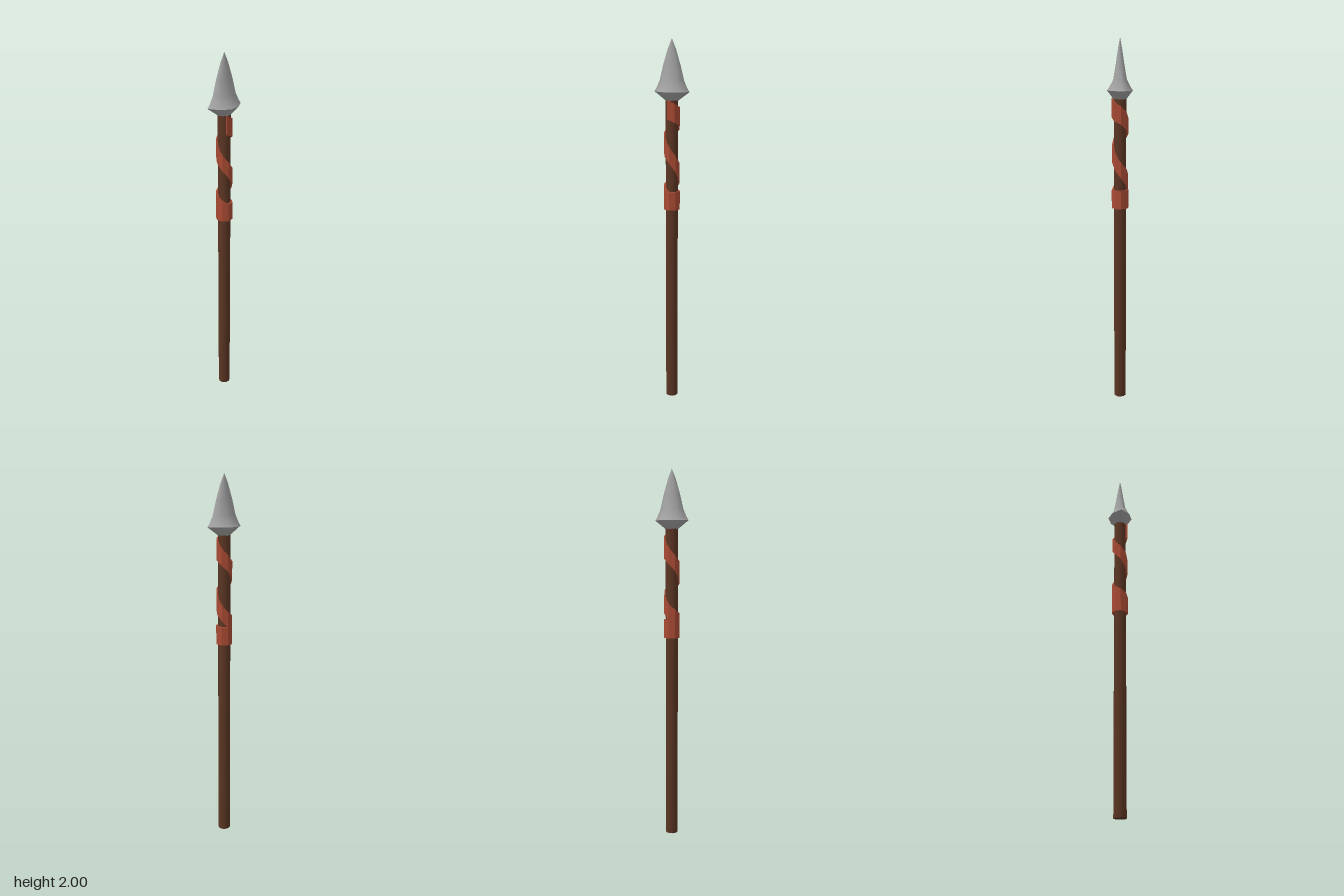
import * as THREE from 'three';
import { toCreasedNormals } from 'three/addons/utils/BufferGeometryUtils.js';

// Skin a list of equal-length closed cross-sections
function loft(sections) {
  const n = sections[0].length, index = [];
  for (let i = 0; i < sections.length - 1; i++) {
    for (let j = 0; j < n; j++) {
      const a = i * n + j, b = i * n + (j + 1) % n;
      index.push(a, b, a + n, b, b + n, a + n);
    }
  }
  const geo = new THREE.BufferGeometry();
  geo.setAttribute('position', new THREE.Float32BufferAttribute(sections.flat(2), 3));
  geo.setIndex(index);
  geo.computeVertexNormals();
  return geo;
}

// Eight-sided spearhead section, wide in x and thin in z
function headRing([y, w, d]) {
  const ring = [];
  for (let j = 0; j < 8; j++) {
    const a = j * Math.PI / 4, diagonal = j % 2 === 1;
    ring.push([
      Math.cos(a) * w * (diagonal ? 0.79 : 1),
      y,
      Math.sin(a) * d * (diagonal ? 1.04 : 1),
    ]);
  }
  return ring;
}

// Flat strap around the shaft; keys are [turn, centre height, strap height]
function strap(keys, radius) {
  const sections = [];
  const section = (turn, y, h) => {
    const a = turn * Math.PI * 2, c = Math.cos(a), s = Math.sin(a);
    return [[radius, -h], [radius, h], [0.033, h], [0.033, -h]]
      .map(([r, dy]) => [c * r, y + dy / 2, s * r]);
  };
  const closed = (turn, y) => {
    const a = turn * Math.PI * 2, r = (radius + 0.033) / 2;
    return Array.from({ length: 4 }, () => [Math.cos(a) * r, y, Math.sin(a) * r]);
  };
  const first = keys[0], last = keys[keys.length - 1];
  sections.push(closed(first[0], first[1]));
  for (let i = 0; i < keys.length - 1; i++) {
    for (let k = 0; k < 2; k++) {
      sections.push(section(...keys[i].map((v, m) => v + (keys[i + 1][m] - v) * k / 2)));
    }
  }
  sections.push(section(...last), closed(last[0], last[1]));
  return toCreasedNormals(loft(sections), 0.5);
}

export function createModel() {
  const wood = new THREE.MeshStandardMaterial({ color: 0x5a3523 });
  const leather = new THREE.MeshStandardMaterial({ color: 0xa84a33 });
  const steel = new THREE.MeshStandardMaterial({ color: 0xa0a0a0 });
  wood.name = 'dark wood';
  leather.name = 'red leather';
  steel.name = 'grey steel';

  const spear = new THREE.Group();
  spear.name = 'spear';
  const add = (name, geometry, material) => {
    const mesh = new THREE.Mesh(geometry, material);
    mesh.name = name;
    spear.add(mesh);
    return mesh;
  };

  // Shaft
  const shaft = toCreasedNormals(new THREE.CylinderGeometry(0.033, 0.033, 1.71, 12), 0.8);
  add('shaft', shaft, wood).position.y = 0.855;

  // Spearhead: leaf blade above a sharp rim, short taper below
  add('blade', loft([
    [2.0, 0.0005, 0.0005], [1.95, 0.022, 0.01], [1.87, 0.047, 0.022],
    [1.79, 0.067, 0.036], [1.75, 0.086, 0.057], [1.735, 0.097, 0.068],
  ].map(headRing)), steel);
  add('bladeBase', loft([
    [1.735, 0.097, 0.068], [1.69, 0.036, 0.034], [1.69, 0.0005, 0.0005],
  ].map(headRing)), steel);

  // Leather binding: spiral strap that ends in a level band
  add('spiralStrap', strap([
    [-0.75, 1.165, 0.09], [-0.5, 1.2, 0.09], [-0.25, 1.25, 0.085], [0, 1.32, 0.085],
    [0.25, 1.405, 0.085], [0.5, 1.48, 0.085], [0.75, 1.55, 0.085], [1, 1.61, 0.095],
    [1.29, 1.645, 0.1],
  ], 0.044), leather);
  add('lowerBand', strap([
    [0, 1.16, 0.1], [0.25, 1.16, 0.1], [0.5, 1.16, 0.1], [0.75, 1.16, 0.1], [1, 1.16, 0.1],
  ], 0.045), leather);

  return spear;
}
